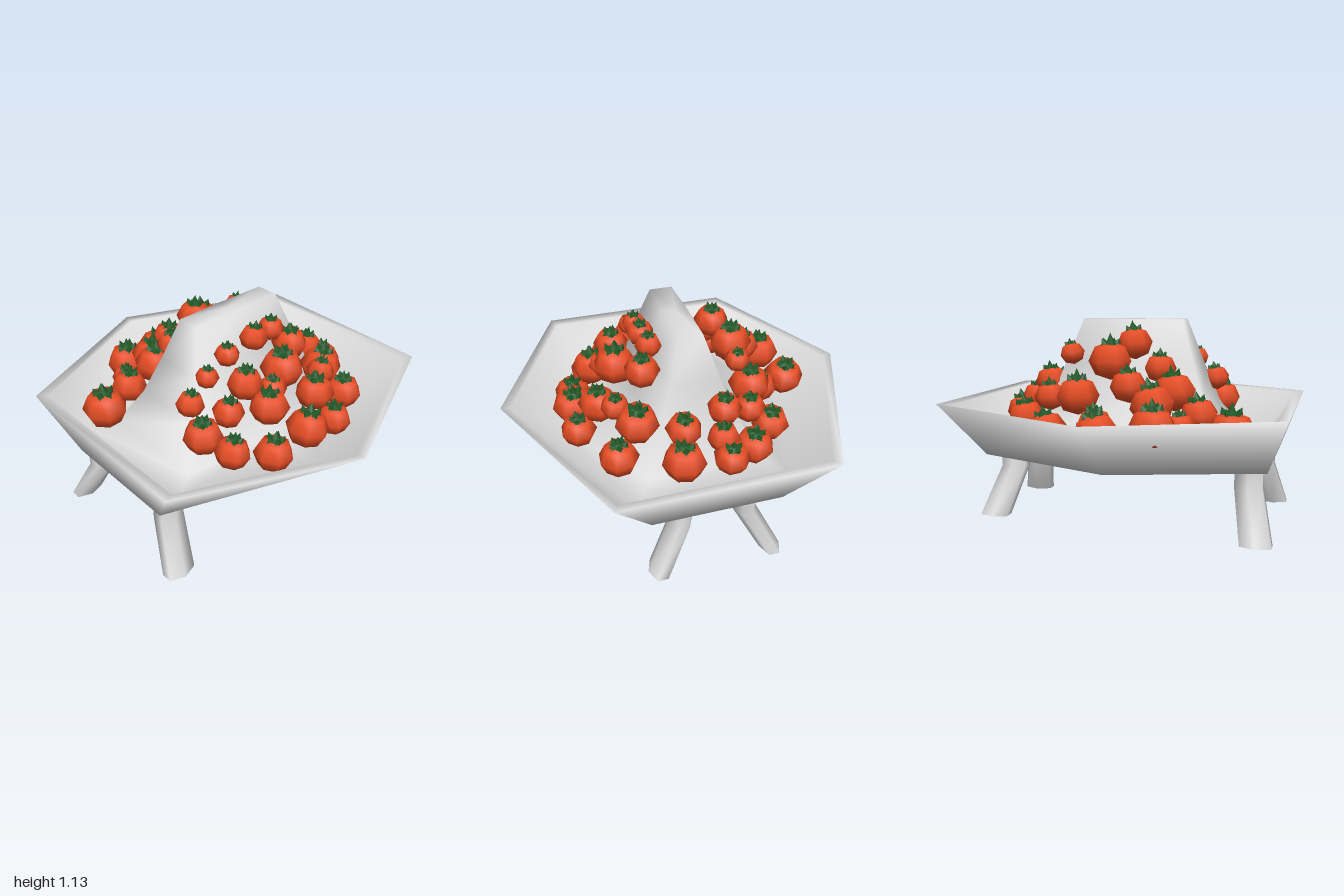
import * as THREE from 'three';
import { mergeGeometries } from 'three/addons/utils/BufferGeometryUtils.js';

const mat = (name, color) => {
  const m = new THREE.MeshStandardMaterial({ color });
  m.name = name;
  return m;
};

// Skin closed rings of points, smooth with equal weight for every face;
// a ring given twice makes a sharp edge
function loft(rings) {
  const n = rings[0].length, index = [];
  for (let i = 0; i < rings.length - 1; i++) {
    for (let j = 0; j < n; j++) {
      const a = i * n + j, b = i * n + (j + 1) % n;
      index.push(a, a + n, b, b, a + n, b + n);
    }
  }
  const points = rings.flat().map((p) => new THREE.Vector3(...p));
  const normals = points.map(() => new THREE.Vector3());
  const face = new THREE.Vector3();
  for (let i = 0; i < index.length; i += 3) {
    const corners = index.slice(i, i + 3);
    THREE.Triangle.getNormal(...corners.map((k) => points[k]), face);
    corners.forEach((k) => normals[k].add(face));
  }
  const g = new THREE.BufferGeometry().setFromPoints(points);
  const flat = normals.flatMap((v) => v.normalize().toArray());
  g.setAttribute('normal', new THREE.Float32BufferAttribute(flat, 3));
  g.setIndex(index);
  return g;
}

// Six-cornered ring: side corners at xm, front and back corners at xe
const hexRing = (y, xm, xe, zf, zb) => [
  [xm, y, 0.03], [xe, y, zf], [-xe, y, zf], [-xm, y, 0.03], [-xe, y, zb], [xe, y, zb],
];

const ovalRing = (x, y, z, rx, rz) => Array.from({ length: 6 }, (_, j) => {
  const a = (j / 6) * Math.PI * 2;
  return [x + rx * Math.cos(a), y, z + rz * Math.sin(a)];
});

// Bowl with a raised central ridge
const bowlGeometry = () => loft([
  hexRing(0.365, 0, 0, 0.03, 0.03),
  hexRing(0.365, 0.63, 0.36, 0.83, -0.765),
  hexRing(0.68, 1, 0.58, 0.945, -0.945),
  hexRing(0.67, 0.95, 0.55, 0.89, -0.89),
  hexRing(0.46, 0.68, 0.42, 0.75, -0.73),
  hexRing(0.48, 0.38, 0.32, 0.6, -0.55),
  hexRing(0.68, 0.24, 0.22, 0.47, -0.42),
  hexRing(0.9, 0.15, 0.14, 0.39, -0.35),
  hexRing(1.135, 0.07, 0.065, 0.31, -0.27),
  hexRing(1.135, 0, 0, 0.02, 0.02),
]);

// Bent leg: splayed foot, knee, upright top
function legGeometry(side, footX, footZ, kneeX, kneeZ) {
  const foot = ovalRing(side * footX, 0, footZ, 0.06, 0.095);
  return loft([
    ovalRing(side * footX, 0, footZ, 0, 0), foot, foot,
    ovalRing(side * kneeX, 0.27, kneeZ, 0.065, 0.085),
    ovalRing(side * kneeX, 0.4, kneeZ, 0.065, 0.085),
  ]);
}

// Unit fruit and its leafy crown
const fruitGeometry = () => new THREE.SphereGeometry(1, 7, 4).scale(1, 0.88, 1);

function crownGeometry() {
  const parts = [
    new THREE.ConeGeometry(0.6, 0.32, 6).translate(0, 0.79, 0),
    new THREE.ConeGeometry(0.22, 0.45, 4).translate(0, 1.02, 0),
  ];
  for (let i = 0; i < 5; i++) {
    parts.push(new THREE.ConeGeometry(0.22, 0.34, 4)
      .rotateZ(-0.45).translate(0.36, 0.85, 0).rotateY((i / 5) * Math.PI * 2));
  }
  return mergeGeometries(parts);
}

// Fruit pile: x, y, z, radius
const leftPile = [
  [0.23, 1.01, 0.08, 0.1], [0.31, 0.92, -0.03, 0.12], [0.26, 0.95, -0.27, 0.07],
  [0.37, 0.73, -0.2, 0.12], [0.3, 0.71, -0.39, 0.09], [0.45, 0.55, -0.35, 0.11],
  [0.25, 0.88, 0.23, 0.09], [0.3, 0.76, 0.32, 0.12], [0.36, 0.65, 0.47, 0.105],
  [0.37, 0.57, 0.64, 0.13], [0.45, 0.71, 0.24, 0.12], [0.44, 0.8, 0.11, 0.1],
  [0.5, 0.6, -0.06, 0.1], [0.69, 0.59, 0.02, 0.12], [0.63, 0.62, 0.29, 0.125],
  [0.5, 0.61, 0.4, 0.08],
].map(([x, ...rest]) => [-x, ...rest]);
const backPile = [
  [-0.11, 0.6, -0.64, 0.1], [-0.09, 0.68, -0.56, 0.09], [-0.27, 0.58, -0.55, 0.11],
  [-0.13, 0.78, -0.45, 0.095], [0.14, 0.61, -0.61, 0.12], [0.11, 0.73, -0.5, 0.1],
];
const rightPile = [
  [0.25, 0.93, -0.2, 0.1], [0.19, 1.03, -0.11, 0.075], [0.2, 1.03, 0.03, 0.08],
  [0.19, 0.99, 0.21, 0.07], [0.19, 0.91, 0.35, 0.065], [0.18, 0.79, 0.46, 0.08],
  [0.36, 0.89, -0.03, 0.12], [0.33, 0.74, -0.39, 0.12], [0.33, 0.88, 0.21, 0.1],
  [0.45, 0.59, -0.46, 0.11], [0.42, 0.79, -0.28, 0.08], [0.49, 0.74, -0.16, 0.11],
  [0.61, 0.61, -0.19, 0.1], [0.6, 0.64, 0.01, 0.12], [0.46, 0.78, 0.16, 0.11],
  [0.57, 0.57, 0.23, 0.11], [0.33, 0.75, 0.33, 0.09], [0.3, 0.66, 0.48, 0.11],
  [0.45, 0.6, 0.41, 0.1], [0.41, 0.83, 0.09, 0.08],
];

export function createModel() {
  const model = new THREE.Group();
  const china = mat('pale china', 0xdcdcdc);
  const red = mat('fruit red', 0xe64d24);
  const green = mat('leaf green', 0x215a28);

  const add = (parent, name, geometry, material) => {
    const mesh = new THREE.Mesh(geometry, material);
    mesh.name = name;
    parent.add(mesh);
  };

  add(model, 'bowl', bowlGeometry(), china);
  for (const side of [-1, 1]) {
    add(model, 'frontLeg', legGeometry(side, 0.44, 0.79, 0.3, 0.73), china);
    add(model, 'backLeg', legGeometry(side, 0.32, -0.74, 0.18, -0.67), china);
  }

  const fruit = fruitGeometry(), crown = crownGeometry();
  [...leftPile, ...backPile, ...rightPile].forEach(([x, y, z, r], i) => {
    const tomato = new THREE.Group();
    tomato.name = 'tomato';
    add(tomato, 'tomatoBody', fruit, red);
    add(tomato, 'tomatoLeaves', crown, green);
    tomato.position.set(x, y, z);
    tomato.rotation.set(Math.sin(i * 2.3) * 0.12 - 0.1, i * 2.4, 0);
    tomato.scale.setScalar(r);
    model.add(tomato);
  });
  return model;
}
